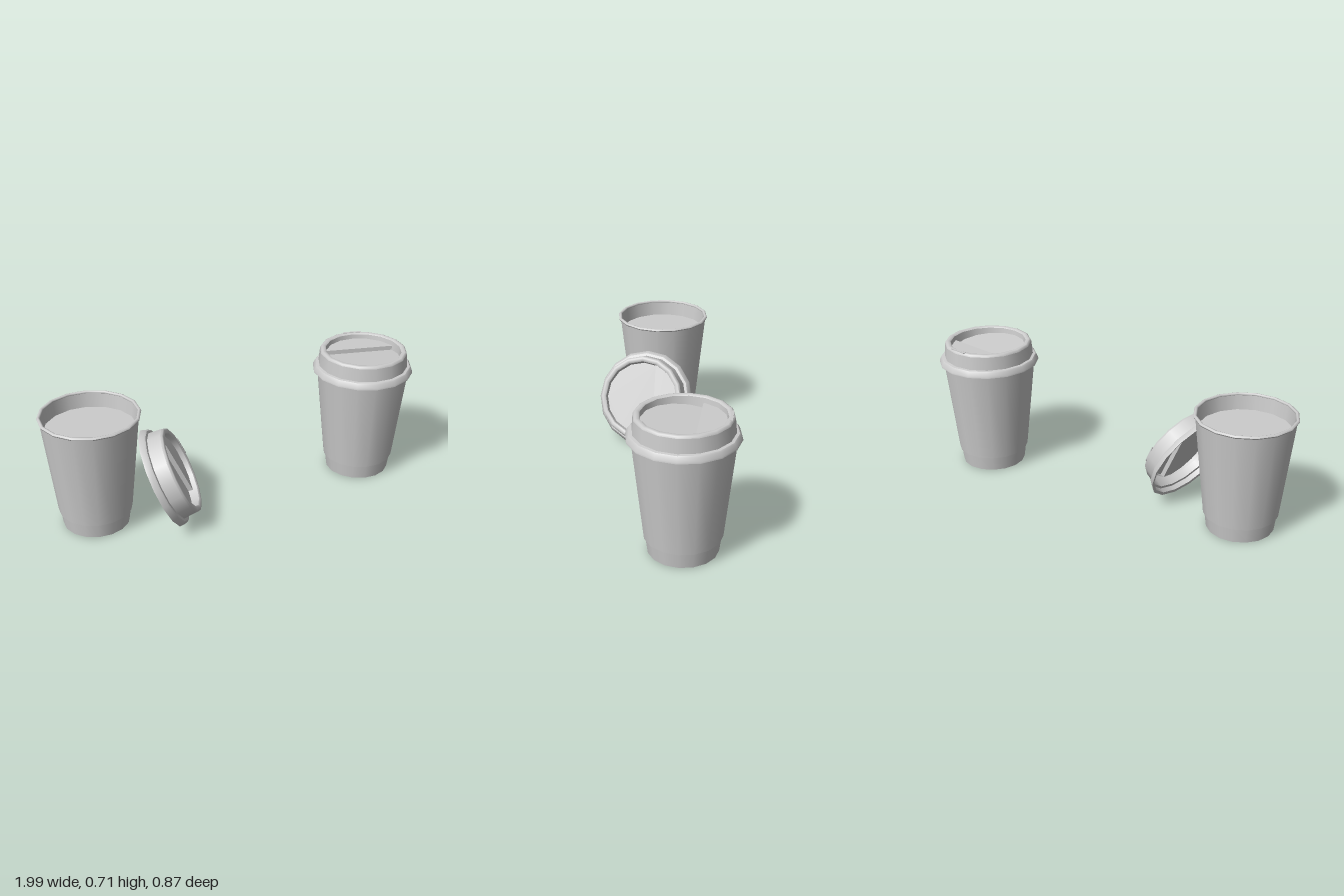
import * as THREE from 'three';

const paper = new THREE.MeshStandardMaterial({ color: 0xcccccc, side: THREE.DoubleSide });
paper.name = 'light grey';

const SIDES = 16;

function add(parent, name, geometry) {
  const mesh = new THREE.Mesh(geometry, paper);
  mesh.name = name;
  parent.add(mesh);
  return mesh;
}

// Turned surface from [radius, height] pairs, listed upwards along the outside
function turned(parent, name, points, sides = SIDES) {
  return add(parent, name, new THREE.LatheGeometry(points.map(([r, y]) => new THREE.Vector2(r, y)), sides));
}

function disc(parent, name, radius, y, up) {
  const mesh = add(parent, name, new THREE.CircleGeometry(radius, SIDES * 2));
  mesh.rotation.x = up ? -Math.PI / 2 : Math.PI / 2;
  mesh.position.y = y;
}

function makeCup() {
  const cup = new THREE.Group();
  // Foot with a hollow underside
  turned(cup, 'foot', [[0.17, 0.01], [0.181, 0.092]]);
  turned(cup, 'footEdge', [[0.161, 0.01], [0.17, 0.01]]);
  turned(cup, 'footInside', [[0.164, 0.05], [0.161, 0.01]]);
  disc(cup, 'underside', 0.165, 0.048, false);
  // Sleeve wall, slightly proud of the foot
  turned(cup, 'sleeveEdge', [[0.18, 0.09], [0.188, 0.09]]);
  turned(cup, 'sleeve', [[0.188, 0.09], [0.245, 0.612]]);
  // Rolled rim and inner wall
  const rim = [];
  for (let i = 0; i <= 8; i++) {
    const a = (i / 8) * Math.PI * 2;
    rim.push([0.246 + 0.009 * Math.cos(a), 0.617 + 0.008 * Math.sin(a)]);
  }
  turned(cup, 'rim', rim);
  turned(cup, 'innerWall', [[0.239, 0.617], [0.229, 0.53]]);
  disc(cup, 'drink', 0.231, 0.54, true);
  return cup;
}

// Part of the recess floor on one side of the fold; height(z) gives its slope
function floorPart(parent, name, radius, fold, front, height) {
  const a = Math.asin(fold / radius);
  const shape = new THREE.Shape();
  if (front) shape.absarc(0, 0, radius, a, Math.PI - a, false);
  else shape.absarc(0, 0, radius, Math.PI - a, Math.PI * 2 + a, false);
  const geometry = new THREE.ShapeGeometry(shape, 16);
  const p = geometry.attributes.position;
  for (let i = 0; i < p.count; i++) {
    const z = p.getY(i);
    p.setXYZ(i, -p.getX(i), height(z), z);
  }
  geometry.computeVertexNormals();
  // The mirrored mapping keeps the faces turned upwards
  add(parent, name, geometry);
}

function makeLid() {
  const lid = new THREE.Group();
  // Skirt that grips the rim
  turned(lid, 'skirtEdge', [[0.25, 0.004], [0.265, 0]]);
  turned(lid, 'skirt', [[0.265, 0], [0.264, 0.008], [0.256, 0.026], [0.25, 0.032]]);
  turned(lid, 'skirtInside', [[0.247, 0.03], [0.25, 0.004]]);
  turned(lid, 'ledge', [[0.25, 0.032], [0.236, 0.034]]);
  // Raised wall, rounded lip and recess wall
  turned(lid, 'wall', [[0.236, 0.034], [0.23, 0.103]]);
  turned(lid, 'lip', [[0.23, 0.103], [0.226, 0.112], [0.219, 0.115], [0.207, 0.115], [0.2, 0.109]]);
  turned(lid, 'recessWall', [[0.2, 0.109], [0.194, 0.06]]);
  // Floor: high drinking side at the back, slope in front, step between
  const fold = -0.068, r = 0.197;
  const slope = z => 0.062 + 0.022 * (z - fold) / (r - fold);
  floorPart(lid, 'floorFront', r, fold, true, slope);
  floorPart(lid, 'floorBack', r, fold, false, () => 0.085);
  const half = Math.sqrt(r * r - fold * fold);
  const step = add(lid, 'floorStep', new THREE.PlaneGeometry(half * 2, 0.023));
  step.position.set(0, 0.0735, fold);
  // Drinking slot on the lip
  const slot = add(lid, 'drinkingSlot', new THREE.BoxGeometry(0.1, 0.004, 0.012));
  slot.position.set(0, 0.115, -0.213);
  return lid;
}

export function createModel() {
  const model = new THREE.Group();

  const openCup = makeCup();
  openCup.name = 'openCup';
  openCup.position.set(-0.745, 0, 0.122);

  const closedCup = makeCup();
  closedCup.name = 'closedCup';
  closedCup.position.set(0.725, 0, -0.173);

  const fittedLid = makeLid();
  fittedLid.name = 'fittedLid';
  fittedLid.position.set(0.725, 0.595, -0.173);

  // Loose lid leaning against the open cup
  const looseLid = makeLid();
  looseLid.name = 'looseLid';
  const up = new THREE.Vector3(0.9, 0.42, 0.12).normalize();
  const side = up.clone().cross(new THREE.Vector3(0, 0, 1)).normalize();
  const front = side.clone().cross(up);
  looseLid.quaternion.setFromRotationMatrix(new THREE.Matrix4().makeBasis(side, up, front));
  looseLid.position.set(-0.405, 0.247, 0.172);

  model.add(openCup, closedCup, fittedLid, looseLid);
  return model;
}
